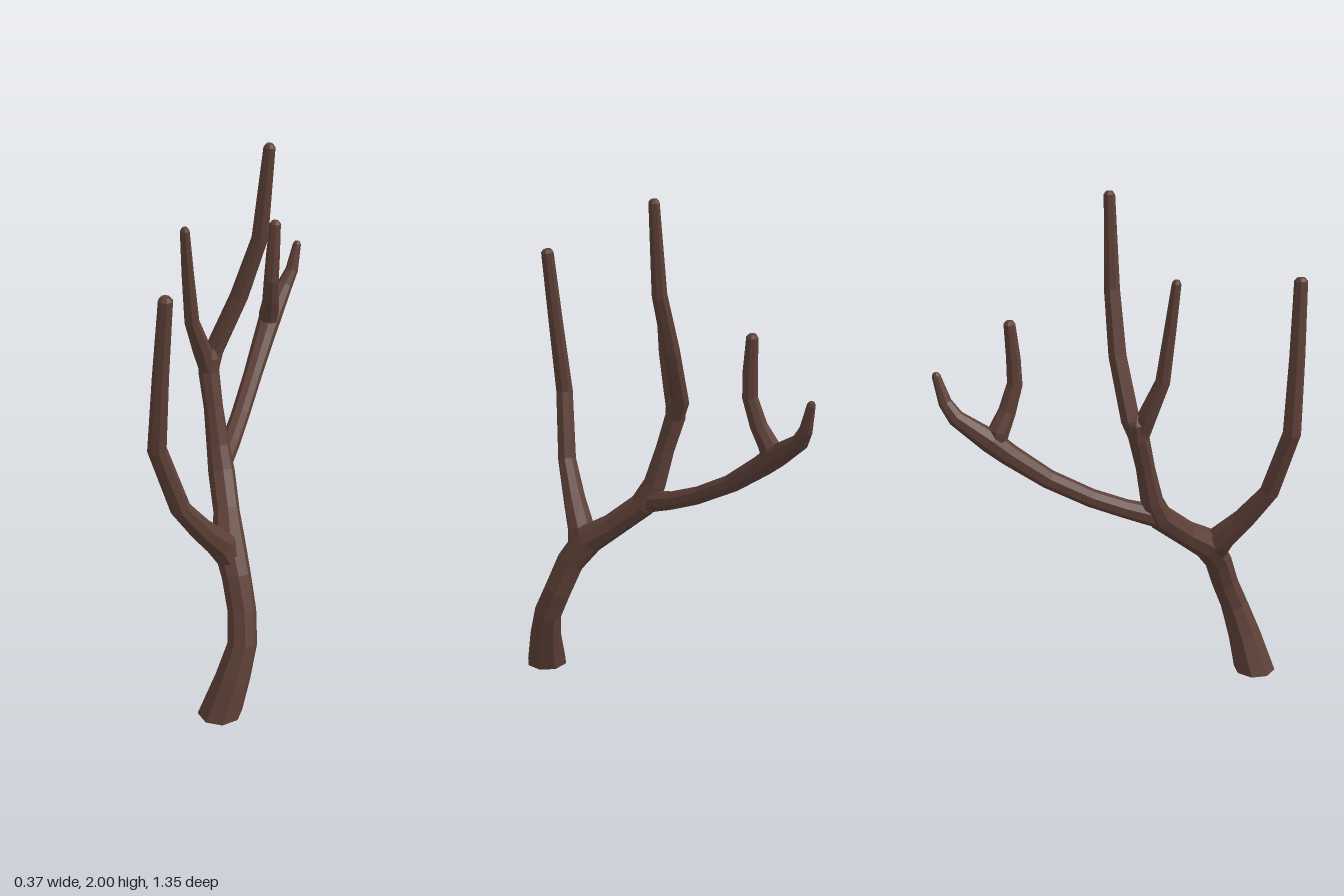
import * as THREE from 'three';

const SIDES = 8;

// Faceted limb swept along points [x, y, z, radius], closed at both ends.
function limbGeometry(points, flatBase) {
  const centres = points.map(p => new THREE.Vector3(p[0], p[1], p[2]));
  const last = points.length - 1;
  const dir = i => centres[i + 1].clone().sub(centres[i]).normalize();
  const up = new THREE.Vector3(0, 1, 0);
  const frame = new THREE.Quaternion();
  const previous = up.clone();
  const positions = [];
  const index = [];

  centres.forEach((c, i) => {
    // Each ring faces the mean of its neighbouring segments
    let t;
    if (i === 0) t = flatBase ? up.clone() : dir(0);
    else if (i === last) t = dir(last - 1);
    else t = dir(i - 1).add(dir(i)).normalize();
    frame.premultiply(new THREE.Quaternion().setFromUnitVectors(previous, t));
    previous.copy(t);
    for (let s = 0; s < SIDES; s++) {
      const a = (s + 0.5) / SIDES * Math.PI * 2;
      const v = new THREE.Vector3(Math.cos(a), 0, Math.sin(a))
        .multiplyScalar(points[i][3]).applyQuaternion(frame).add(c);
      positions.push(v.x, v.y, v.z);
    }
    if (i === last) return;
    for (let s = 0; s < SIDES; s++) {
      const a = i * SIDES + s, b = i * SIDES + (s + 1) % SIDES;
      index.push(a, a + SIDES, b, b, a + SIDES, b + SIDES);
    }
  });

  // End caps
  const end = last * SIDES;
  for (let s = 1; s < SIDES - 1; s++) {
    index.push(0, s, s + 1, end, end + s + 1, end + s);
  }
  const geometry = new THREE.BufferGeometry();
  geometry.setAttribute('position', new THREE.Float32BufferAttribute(positions, 3));
  geometry.setIndex(index);
  const faceted = geometry.toNonIndexed();
  faceted.computeVertexNormals();
  return faceted;
}

// Small bevelled tip added beyond the last point
function withTip(points) {
  const a = points[points.length - 2], b = points[points.length - 1];
  const d = new THREE.Vector3(b[0] - a[0], b[1] - a[1], b[2] - a[2]).setLength(0.012);
  return [...points, [b[0] + d.x, b[1] + d.y, b[2] + d.z, b[3] * 0.6]];
}

export function createModel() {
  const bark = new THREE.MeshStandardMaterial({ color: 0x5d4037 });
  bark.name = 'bark';
  const tree = new THREE.Group();
  tree.name = 'bareTree';

  const add = (name, points, isTrunk = false) => {
    const mesh = new THREE.Mesh(limbGeometry(isTrunk ? points : withTip(points), isTrunk), bark);
    mesh.name = name;
    tree.add(mesh);
  };

  // Trunk up to the upper fork
  add('trunk', [
    [0.06, 0, 0.58, 0.083], [0.1, 0.14, 0.545, 0.066], [0.126, 0.27, 0.505, 0.055],
    [0.112, 0.38, 0.46, 0.053], [0.08, 0.5, 0.42, 0.054], [0.035, 0.6, 0.36, 0.061],
    [0.0, 0.67, 0.265, 0.049], [-0.05, 0.77, 0.155, 0.05], [-0.075, 0.86, 0.115, 0.043],
    [-0.1, 1.0, 0.085, 0.036], [-0.125, 1.13, 0.055, 0.039], [-0.125, 1.19, 0.05, 0.04],
    [-0.12, 1.225, 0.05, 0.02],
  ], true);

  // Front branch
  add('frontBranch', [
    [0.06, 0.53, 0.4, 0.04], [0.02, 0.62, 0.41, 0.056], [-0.025, 0.715, 0.485, 0.045],
    [-0.08, 0.85, 0.57, 0.037], [-0.14, 1.11, 0.63, 0.034], [-0.115, 1.4, 0.645, 0.029],
    [-0.088, 1.68, 0.655, 0.025],
  ]);

  // Upper fork
  add('tallBranch', [
    [-0.125, 1.1, 0.06, 0.03], [-0.115, 1.2, 0.025, 0.036], [-0.025, 1.42, -0.005, 0.034],
    [0.05, 1.65, -0.01, 0.03], [0.082, 1.988, -0.012, 0.021],
  ]);
  add('upperTwig', [
    [-0.125, 1.12, 0.055, 0.03], [-0.14, 1.22, 0.08, 0.035], [-0.163, 1.36, 0.132, 0.027],
    [-0.168, 1.55, 0.155, 0.022], [-0.17, 1.725, 0.176, 0.017],
  ]);

  // Long rear branch and its fork
  add('rearBranch', [
    [-0.05, 0.75, 0.17, 0.03], [-0.06, 0.795, 0.1, 0.041], [-0.053, 0.82, 0.02, 0.036],
    [-0.05, 0.875, -0.11, 0.035], [-0.045, 0.965, -0.27, 0.036], [-0.035, 1.07, -0.41, 0.041],
    [-0.028, 1.125, -0.475, 0.044], [0.0, 1.215, -0.595, 0.031], [0.02, 1.27, -0.63, 0.025],
    [0.033, 1.37, -0.657, 0.016],
  ]);
  add('rearTwig', [
    [-0.03, 1.08, -0.46, 0.03], [-0.025, 1.16, -0.445, 0.04], [-0.01, 1.23, -0.41, 0.033],
    [0.0, 1.33, -0.378, 0.029], [0.005, 1.43, -0.38, 0.027], [0.01, 1.555, -0.39, 0.022],
  ]);
  return tree;
}
